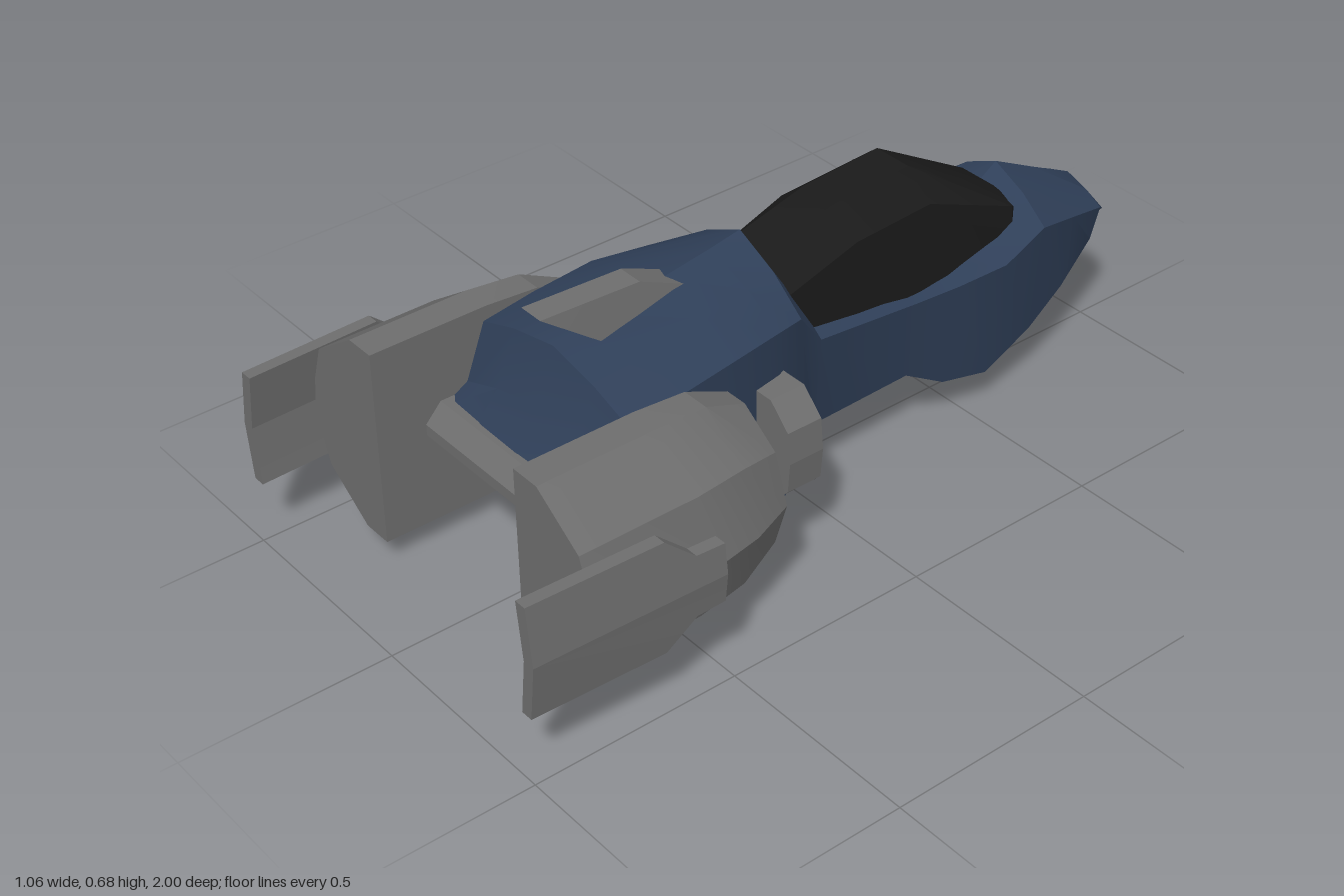
import * as THREE from 'three';
import { toCreasedNormals } from 'three/addons/utils/BufferGeometryUtils.js';

const paint = (color) => new THREE.MeshStandardMaterial({ color });

// Closed skin through rings of [x, y] points, counter-clockwise seen from +z, with end caps.
function loft(sections) {
  const pos = [], idx = [], n = sections[0].ring.length;
  for (const { z, ring } of sections) for (const [x, y] of ring) pos.push(x, y, z);
  for (let i = 0; i < sections.length - 1; i++) {
    for (let j = 0; j < n; j++) {
      const a = i * n + j, b = i * n + (j + 1) % n;
      idx.push(a, b, b + n, a, b + n, a + n);
    }
  }
  for (const i of [0, sections.length - 1]) {
    const { z, ring } = sections[i], c = pos.length / 3;
    pos.push(ring.reduce((s, p) => s + p[0], 0) / n, ring.reduce((s, p) => s + p[1], 0) / n, z);
    for (let j = 0; j < n; j++) {
      const a = i * n + j, b = i * n + (j + 1) % n;
      if (i === 0) idx.push(c, b, a); else idx.push(c, a, b);
    }
  }
  const g = new THREE.BufferGeometry();
  g.setAttribute('position', new THREE.Float32BufferAttribute(pos, 3));
  g.setIndex(idx);
  return g.toNonIndexed();
}

// Ring from its +x half, listed from bottom to top; points on x = 0 are not doubled.
const symmetric = (half) =>
  [...half, ...half.filter((p) => p[0] > 0).reverse().map(([x, y]) => [-x, y])];

const toShape = (points) => new THREE.Shape(points.map(([x, y]) => new THREE.Vector2(x, y)));

// Side outline of [z, y] points extruded across x from x0 to x1.
function sidePrism(points, x0, x1) {
  const shape = toShape(points.map(([z, y]) => [-z, y]));
  const g = new THREE.ExtrudeGeometry(shape, { depth: x1 - x0, bevelEnabled: false });
  return g.rotateY(Math.PI / 2).translate(x0, 0, 0);
}

// Moves each vertex by a rule.
function reshape(g, rule) {
  const p = g.attributes.position, v = new THREE.Vector3();
  for (let i = 0; i < p.count; i++) {
    rule(v.fromBufferAttribute(p, i));
    p.setXYZ(i, v.x, v.y, v.z);
  }
  return g;
}

// Reflected copy across x = 0 with the winding restored.
function mirrored(g) {
  const m = g.clone().scale(-1, 1, 1), p = m.attributes.position;
  const a = new THREE.Vector3(), b = new THREE.Vector3();
  for (let i = 0; i < p.count; i += 3) {
    a.fromBufferAttribute(p, i + 1);
    b.fromBufferAttribute(p, i + 2);
    p.setXYZ(i + 1, b.x, b.y, b.z);
    p.setXYZ(i + 2, a.x, a.y, a.z);
  }
  return m;
}

export function createModel() {
  const model = new THREE.Group();
  model.name = 'hoverCraft';
  const blue = paint(0x2f3f58), grey = paint(0x6e6e6e), glass = paint(0x1a1a1a);

  const add = (name, geometry, material, crease) => {
    const mesh = new THREE.Mesh(toCreasedNormals(geometry, crease), material);
    mesh.name = name;
    model.add(mesh);
  };
  const addPair = (name, geometry, crease) => {
    add(name + 'Left', geometry, grey, crease);
    add(name + 'Right', mirrored(geometry), grey, crease);
  };

  // Hull: z, keel y, lower half-width, side half-width, side y, ridge y
  const hull = [
    [-1, 0.325, 0.005, 0.01, 0.33, 0.335],
    [-0.98, 0.31, 0.045, 0.062, 0.338, 0.36],
    [-0.92, 0.272, 0.085, 0.11, 0.385, 0.432],
    [-0.8, 0.2, 0.115, 0.14, 0.42, 0.49],
    [-0.68, 0.14, 0.135, 0.165, 0.45, 0.55],
    [-0.54, 0.08, 0.14, 0.19, 0.42, 0.46],
    [-0.42, 0.1, 0.125, 0.165, 0.4, 0.44],
    [-0.31, 0.165, 0.12, 0.15, 0.395, 0.44],
    [-0.03, 0.165, 0.13, 0.15, 0.42, 0.51],
    [0.07, 0.115, 0.19, 0.2, 0.54, 0.665],
    [0.15, 0.045, 0.22, 0.222, 0.55, 0.65],
    [0.28, 0.005, 0.245, 0.245, 0.553, 0.63],
    [0.43, 0.012, 0.25, 0.25, 0.535, 0.605],
    [0.56, 0.055, 0.25, 0.25, 0.515, 0.583],
    [0.61, 0.17, 0.25, 0.25, 0.385, 0.455],
    [0.67, 0.25, 0.25, 0.25, 0.35, 0.36],
  ];
  // The keel is a shallow V; a shoulder lies between side and ridge.
  add('hull', loft(hull.map(([z, keel, lower, side, sideY, ridge]) => ({
    z,
    ring: symmetric([
      [0, keel], [lower, keel + 0.18 * lower], [side, sideY],
      [0.55 * side, sideY + 0.58 * (ridge - sideY)], [0, ridge],
    ]),
  }))), blue, 0.42);

  // Canopy: z, side half-width, side y, top y
  const canopy = [
    [-0.655, 0.09, 0.48, 0.5],
    [-0.625, 0.115, 0.505, 0.53],
    [-0.36, 0.125, 0.618, 0.68],
    [-0.15, 0.125, 0.605, 0.665],
    [0.03, 0.12, 0.545, 0.618],
    [0.05, 0.1, 0.54, 0.605],
  ];
  add('canopy', loft(canopy.map(([z, side, sideY, top]) => ({
    z, ring: symmetric([[1.04 * side, 0.405], [side, sideY], [0.05, top]]),
  }))), glass, 0.42);

  // Engine pods: one faceted half-round outline, shrinking towards the front
  const podTop = [[0.255, 0], [0.205, 0.15], [0.075, 0.24], [0, 0.24]];
  const podRing = [...podTop.slice(1).reverse().map(([x, y]) => [x, -y]), ...podTop];
  const podSizes = [[0.31, 0.74, 0.76], [0.42, 0.91, 0.96], [0.55, 1, 1], [0.84, 1, 1]];
  addPair('enginePod', loft(podSizes.map(([z, sx, sy]) => ({
    z, ring: podRing.map(([x, y]) => [0.25 + x * sx, 0.31 + y * sy]),
  }))), 0.3);

  // Outer plates: upper and lower halves folded along the middle, toed in towards the back
  for (const side of [1, -1]) {
    const outline = [[0.54, 0], [0.54, 0.072], [0.61, 0.075], [0.68, 0.137], [1, 0.137], [1, 0]]
      .map(([z, y]) => [z, 0.31 + side * y]);
    const plate = reshape(sidePrism(outline, 0.502, 0.532), (v) => {
      v.x -= 0.12 * Math.abs(v.y - 0.31) + 0.035 * Math.max(0, v.z - 0.58);
    });
    addPair(side > 0 ? 'upperPlate' : 'lowerPlate', plate, 0.1);
  }

  // Side intakes ahead of the pods
  const intake = [[0.15, -0.13], [0.28, -0.13], [0.335, -0.075], [0.342, 0],
    [0.335, 0.075], [0.28, 0.13], [0.15, 0.13]];
  addPair('sideIntake', new THREE.ExtrudeGeometry(toShape(intake),
    { depth: 0.09, bevelEnabled: false }).translate(0, 0.315, 0.13), 0.1);

  // Dorsal fin, narrower along its top
  add('dorsalFin', reshape(
    sidePrism([[0.2, 0.6], [0.47, 0.58], [0.61, 0.68], [0.36, 0.67]], -1, 1),
    (v) => { v.x *= v.y > 0.65 ? 0.032 : v.z > 0.4 ? 0.054 : 0.04; },
  ), grey, 0.1);

  // Rear crossbar between the pods
  add('rearBar', sidePrism([[0.58, 0.255], [0.67, 0.255], [0.72, 0.295], [0.72, 0.322],
    [0.68, 0.365], [0.58, 0.365]], -0.25, 0.25), grey, 0.1);

  return model;
}
